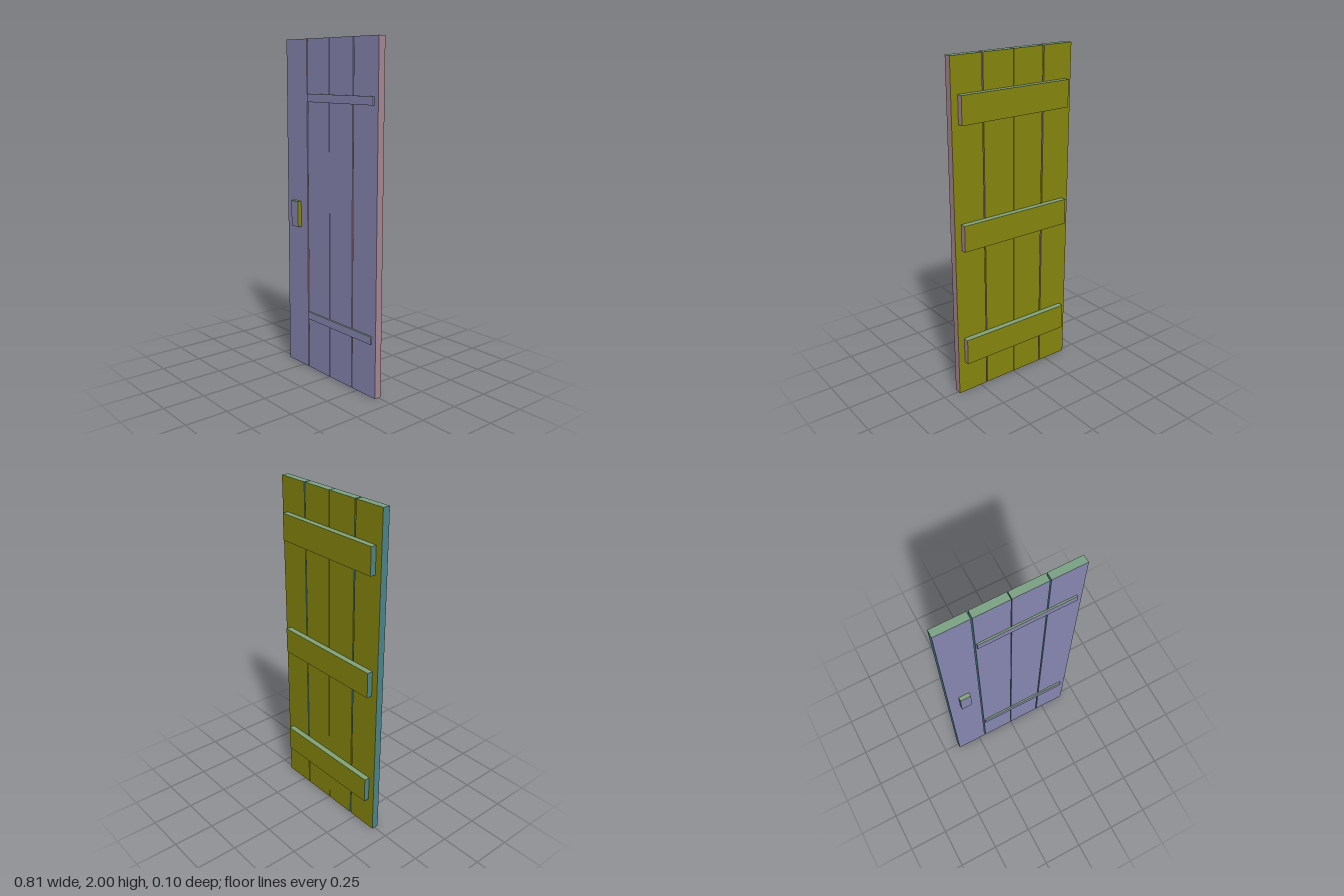
import * as THREE from 'three';

const paint = (name, color) => {
  const m = new THREE.MeshStandardMaterial({ color });
  m.name = name;
  return m;
};

export function createModel() {
  const door = new THREE.Group();
  door.name = 'plankDoor';

  const rose = paint('dusty rose', 0xa88892);
  const teal = paint('teal', 0x4b858c);
  const sage = paint('sage green', 0x7aa183);
  const moss = paint('moss green', 0x7fa277);
  const plum = paint('plum', 0x80558c);
  const lavender = paint('lavender', 0x8787b3);
  const olive = paint('olive', 0x86860d);

  // One colour per facing: +x, -x, +y, -y, +z, -z
  const plankFaces = [rose, teal, sage, plum, lavender, olive];
  const battenFaces = [rose, teal, moss, plum, lavender, olive];
  const handleFaces = [olive, teal, moss, plum, lavender, olive];

  // Box given by its extents on each axis
  const slab = (name, [x0, x1], [y0, y1], [z0, z1], faces) => {
    const mesh = new THREE.Mesh(new THREE.BoxGeometry(x1 - x0, y1 - y0, z1 - z0), faces);
    mesh.position.set((x0 + x1) / 2, (y0 + y1) / 2, (z0 + z1) / 2);
    mesh.name = name;
    door.add(mesh);
  };

  const back = -0.017, front = 0.027;

  // Four upright planks with narrow gaps
  [[-0.403, -0.208], [-0.2, -0.002], [0.002, 0.2], [0.207, 0.403]].forEach((x, i) =>
    slab(`plank${i + 1}`, x, [0, 2], [back, front], plankFaces));

  // Three wide battens across the back
  [[0.205, 0.363], [0.925, 1.081], [1.641, 1.8]].forEach((y, i) =>
    slab(`backBatten${i + 1}`, [-0.362, 0.361], y, [-0.051, back], battenFaces));

  // Two thin hinge straps on the front
  [[0.317, 0.363], [1.641, 1.688]].forEach((y, i) =>
    slab(`hingeStrap${i + 1}`, [-0.193, 0.372], y, [front, 0.037], battenFaces));

  // Handle block
  slab('handle', [-0.338, -0.272], [0.885, 1.042], [front, 0.051], handleFaces);

  return door;
}
